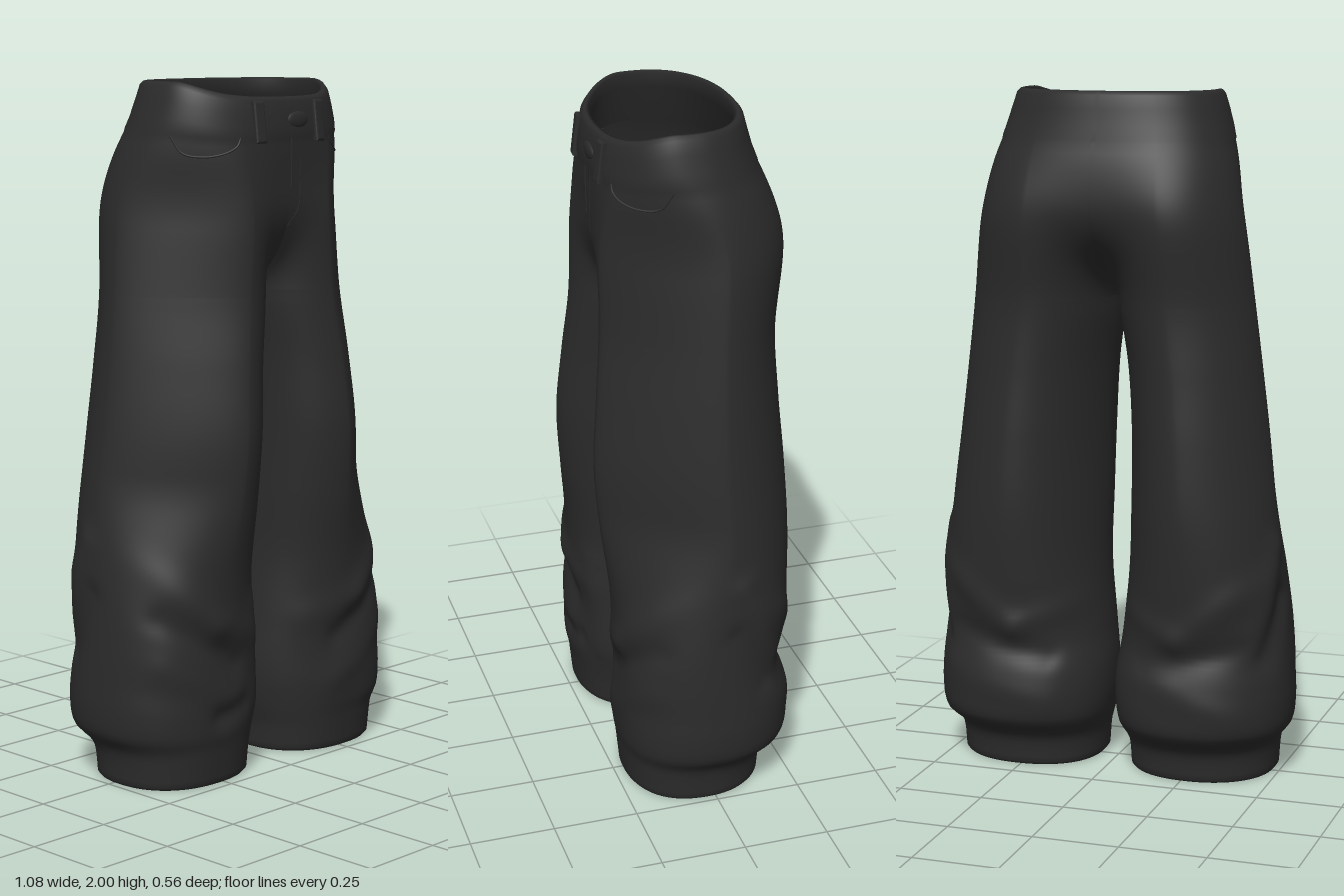
import * as THREE from 'three';
import { mergeVertices } from 'three/addons/utils/BufferGeometryUtils.js';

const { lerp, smoothstep, clamp } = THREE.MathUtils;

// Profile keys: height, outer x, inner x, front z, back z
const KEYS = [
  [0, 0.484, 0.05, 0.222, -0.183],
  [0.08, 0.49, 0.044, 0.23, -0.194],
  [0.11, 0.499, 0.035, 0.233, -0.215],
  [0.15, 0.53, 0.022, 0.24, -0.258],
  [0.22, 0.54, 0.012, 0.242, -0.268],
  [0.3, 0.538, 0.012, 0.238, -0.262],
  [0.4, 0.532, 0.024, 0.24, -0.244],
  [0.6, 0.515, 0.042, 0.247, -0.264],
  [0.8, 0.495, 0.042, 0.27, -0.274],
  [1.0, 0.472, 0.04, 0.283, -0.265],
  [1.2, 0.448, 0.028, 0.268, -0.25],
  [1.4, 0.424, 0, 0.25, -0.245],
  [1.6, 0.4, 0, 0.248, -0.27],
  [1.7, 0.382, 0, 0.246, -0.272],
  [1.8, 0.36, 0, 0.244, -0.25],
  [1.9, 0.328, 0, 0.238, -0.21],
  [2.0, 0.298, 0, 0.226, -0.185],
];
const CROTCH = 1.4;

// Cloth folds: face, side (0 = both), a1, y1, a2, y2, amount, width
// a is |x| on the front and back, z on the outer side
const FOLDS = [
  ['f', 0, 0.5, 0.66, 0.3, 0.47, 0.01, 0.05],
  ['f', 0, 0.3, 0.47, 0.12, 0.42, 0.006, 0.045],
  ['f', 0, 0.45, 0.5, 0.22, 0.35, -0.013, 0.04],
  ['f', 0, 0.46, 0.36, 0.2, 0.22, 0.007, 0.045],
  ['f', -1, 0.28, 0.2, 0.18, 0.22, -0.014, 0.03],
  ['f', -1, 0.12, 0.5, 0.08, 0.2, 0.008, 0.04],
  ['b', 0, 0.5, 0.62, 0.25, 0.44, 0.012, 0.045],
  ['b', 0, 0.25, 0.44, 0.08, 0.5, 0.008, 0.04],
  ['b', 0, 0.42, 0.42, 0.15, 0.35, -0.01, 0.035],
  ['b', 1, 0.45, 0.3, 0.15, 0.22, 0.006, 0.045],
  ['b', -1, 0.15, 0.32, 0.42, 0.22, 0.006, 0.045],
  ['o', 0, -0.08, 0.7, -0.2, 0.42, 0.012, 0.04],
  ['o', 0, -0.05, 0.55, -0.14, 0.38, -0.012, 0.035],
];

// Smooth interpolation of the profile table
function profile(y) {
  let i = 0;
  while (i < KEYS.length - 2 && y > KEYS[i + 1][0]) i++;
  const a = KEYS[i], b = KEYS[i + 1], h = b[0] - a[0], t = (y - a[0]) / h;
  const p = KEYS[Math.max(0, i - 1)], n = KEYS[Math.min(KEYS.length - 1, i + 2)];
  return [1, 2, 3, 4].map((k) => {
    const m0 = (b[k] - p[k]) / (b[0] - p[0]) * h, m1 = (n[k] - a[k]) / (n[0] - a[0]) * h;
    const t2 = t * t, t3 = t2 * t;
    return (2 * t3 - 3 * t2 + 1) * a[k] + (t3 - 2 * t2 + t) * m0 + (3 * t2 - 2 * t3) * b[k] + (t3 - t2) * m1;
  });
}

const power = (v, n) => Math.sign(v) * Math.pow(Math.abs(v), 2 / n);

function segmentDistance(px, py, x1, y1, x2, y2) {
  const dx = x2 - x1, dy = y2 - y1;
  const t = clamp(((px - x1) * dx + (py - y1) * dy) / (dx * dx + dy * dy), 0, 1);
  return Math.hypot(px - x1 - t * dx, py - y1 - t * dy);
}

// Cloth point: u runs inner/front centre -> front -> outside -> back; hips and leg loops blend at the crotch
function clothPoint(side, u, y, inset = 0) {
  const [outer, innerRaw, front, back] = profile(y);
  const inner = y >= CROTCH - 1e-6 ? 0 : Math.max(0.002, innerRaw);
  const zc = (front + back) / 2, rz = (front - back) / 2 - inset;
  const cx = (outer + inner) / 2, rx = (outer - inner) / 2 - inset;
  const cos = Math.cos(Math.PI * 2 * u), sin = Math.sin(Math.PI * 2 * u);
  const face = u <= 0.5 ? 1 : -1;

  // leg loop: full at the hem, drawn to a side-seam ridge along the thigh
  const thigh = smoothstep(y, 0.1, 0.9), ridge = smoothstep(y, 0.45, 0.9);
  const legN = cos > 0 ? lerp(2.3, 1.8, thigh) : face > 0 ? lerp(2.35, 1.45, ridge) : lerp(2.15, 1.65, ridge);
  const lean = face > 0 ? 0.045 * thigh : 0;
  let x = cx - rx * power(cos, legN) - lean * sin * sin;
  let z = zc + rz * power(sin, legN);
  z += cos > 0 ? 0.04 * thigh * cos ** 3 : -0.045 * ridge * cos * cos;

  if (y > CROTCH) {
    // hips: the inner half of each loop opens into a flat front or seat panel
    const v = face > 0 ? u : 1 - u;
    if (v < 0.25) {
      const s = clamp((y - CROTCH) / 0.28, 0, 1), k = v * 4;
      const rise = lerp(face > 0 ? 0.6 : 0.8, 1.6, smoothstep(v, 0, 0.22));
      const t = Math.pow(Math.sin(s * Math.PI / 2), rise);
      x = lerp(x, (cx - lean) * k, t);
      z = lerp(z, zc + face * rz * (0.965 + 0.035 * Math.sin(k * Math.PI / 2) ** 2), t);
    }
    // waist: rounds off to an oval
    const psi = v < 0.25 ? v * 4 * Math.PI / 6 : Math.PI / 6 + (v - 0.25) * 4 * Math.PI / 3;
    const w = smoothstep(y, 1.6, 1.95);
    x = lerp(x, (outer - inset) * power(Math.sin(psi), 2.3), w);
    z = lerp(z, zc + face * rz * power(Math.max(0, Math.cos(psi)), 2.3), w);
  }

  const fz = (z - zc) / rz, fx = (x - cx) / rx, x0 = x, z0 = z;
  for (const [where, only, a1, y1, a2, y2, amount, width] of FOLDS) {
    if (only && only !== side) continue;
    const d = segmentDistance(where === 'o' ? z0 : x0, y, a1, y1, a2, y2) / width;
    const facing = Math.max(0, where === 'f' ? fz : where === 'b' ? -fz : fx);
    const push = amount * Math.exp(-d * d) * Math.min(1, facing * 1.4);
    if (where === 'f') z += push;
    else if (where === 'b') z -= push;
    else x += push;
  }
  // the waist dips toward the front
  const dip = 0.045 * smoothstep(y, 1.75, 2) * smoothstep(z, 0.06, 0.23);
  return new THREE.Vector3(side * x, y - dip, z);
}

// Both trouser halves as one welded skin, turned in at hems and waist
function trousersGeometry() {
  const rows = [[0.14, 0.03], [0.02, 0.025], [0.004, 0.015], [0, 0.006]];
  for (let i = 0; i <= 90; i++) rows.push([0.008 + (CROTCH - 0.008) * i / 90, 0]);
  for (let i = 1; i <= 34; i++) rows.push([CROTCH + 0.455 * (i / 34) ** 2, 0]);
  rows.push([1.865, -0.003], [1.9, -0.004], [1.95, -0.004], [1.988, -0.003], [1.998, 0.003],
    [2, 0.01], [1.994, 0.022], [1.95, 0.026], [1.84, 0.024]);
  const N = 112, positions = [], index = [];
  for (const side of [1, -1]) {
    const base = positions.length / 3;
    for (const [y, inset] of rows) {
      for (let j = 0; j <= N; j++) positions.push(...clothPoint(side, j / N, y, inset).toArray());
    }
    for (let i = 0; i < rows.length - 1; i++) {
      for (let j = 0; j < N; j++) {
        const a = base + i * (N + 1) + j, b = a + 1, c = a + N + 1, d = c + 1;
        if (side > 0) index.push(a, b, d, a, d, c);
        else index.push(a, d, b, a, c, d);
      }
    }
  }
  let g = new THREE.BufferGeometry();
  g.setAttribute('position', new THREE.Float32BufferAttribute(positions, 3));
  g.setIndex(index);
  g = mergeVertices(g, 1e-4);
  g.computeVertexNormals();
  return g;
}

// Point on the front cloth at a given x
function frontPoint(x, y, lift = 0) {
  const side = x < 0 ? -1 : 1;
  let lo = 0, hi = 0.5;
  for (let i = 0; i < 30; i++) {
    const mid = (lo + hi) / 2;
    if (Math.abs(clothPoint(side, mid, y).x) < Math.abs(x)) lo = mid; else hi = mid;
  }
  const p = clothPoint(side, lo, y);
  p.z += lift;
  return p;
}

export function createModel() {
  const group = new THREE.Group();
  group.name = 'trousers';
  const cloth = new THREE.MeshStandardMaterial({ color: 0x2b2b2b, side: THREE.DoubleSide });
  cloth.name = 'charcoal cloth';

  const add = (name, geometry) => {
    const mesh = new THREE.Mesh(geometry, cloth);
    mesh.name = name;
    group.add(mesh);
    return mesh;
  };
  const seam = (name, points, radius) => add(name, new THREE.TubeGeometry(
    new THREE.CatmullRomCurve3(points.map(([x, y]) => frontPoint(x, y))), 40, radius, 6));

  add('trouserCloth', trousersGeometry());

  for (const side of [1, -1]) {
    const label = side > 0 ? 'left' : 'right';
    // belt loop: a padded strap over the waistband
    const strap = new THREE.Shape();
    strap.moveTo(-0.012, -0.052).lineTo(0.012, -0.052).lineTo(0.012, 0.052).lineTo(-0.012, 0.052).closePath();
    const loop = add(label + 'BeltLoop', new THREE.ExtrudeGeometry(strap,
      { depth: 0.008, bevelSize: 0.007, bevelThickness: 0.006, bevelSegments: 4 }));
    loop.position.copy(frontPoint(side * 0.12, 1.92, 0.001));
    loop.rotation.set(-0.12, side * 0.12, 0);
    // curved pocket opening running round to the side
    seam(label + 'PocketEdge', [[0.18, 1.862], [0.19, 1.835], [0.22, 1.81], [0.27, 1.795], [0.31, 1.805], [0.325, 1.85]]
      .map(([x, y]) => [side * x, y]), 0.003);
  }

  // fly stitching and button tab
  seam('flyEdge', [[0.004, 1.87], [0.004, 1.82], [0.004, 1.76], [0.004, 1.7]], 0.003);
  seam('flyStitch', [[0.04, 1.86], [0.04, 1.72], [0.035, 1.64], [0.005, 1.59]], 0.0018);
  const button = add('waistButton', new THREE.SphereGeometry(0.03, 20, 12));
  button.scale.set(1.4, 0.8, 0.3);
  button.position.copy(frontPoint(0.03, 1.925, 0.002));
  return group;
}
